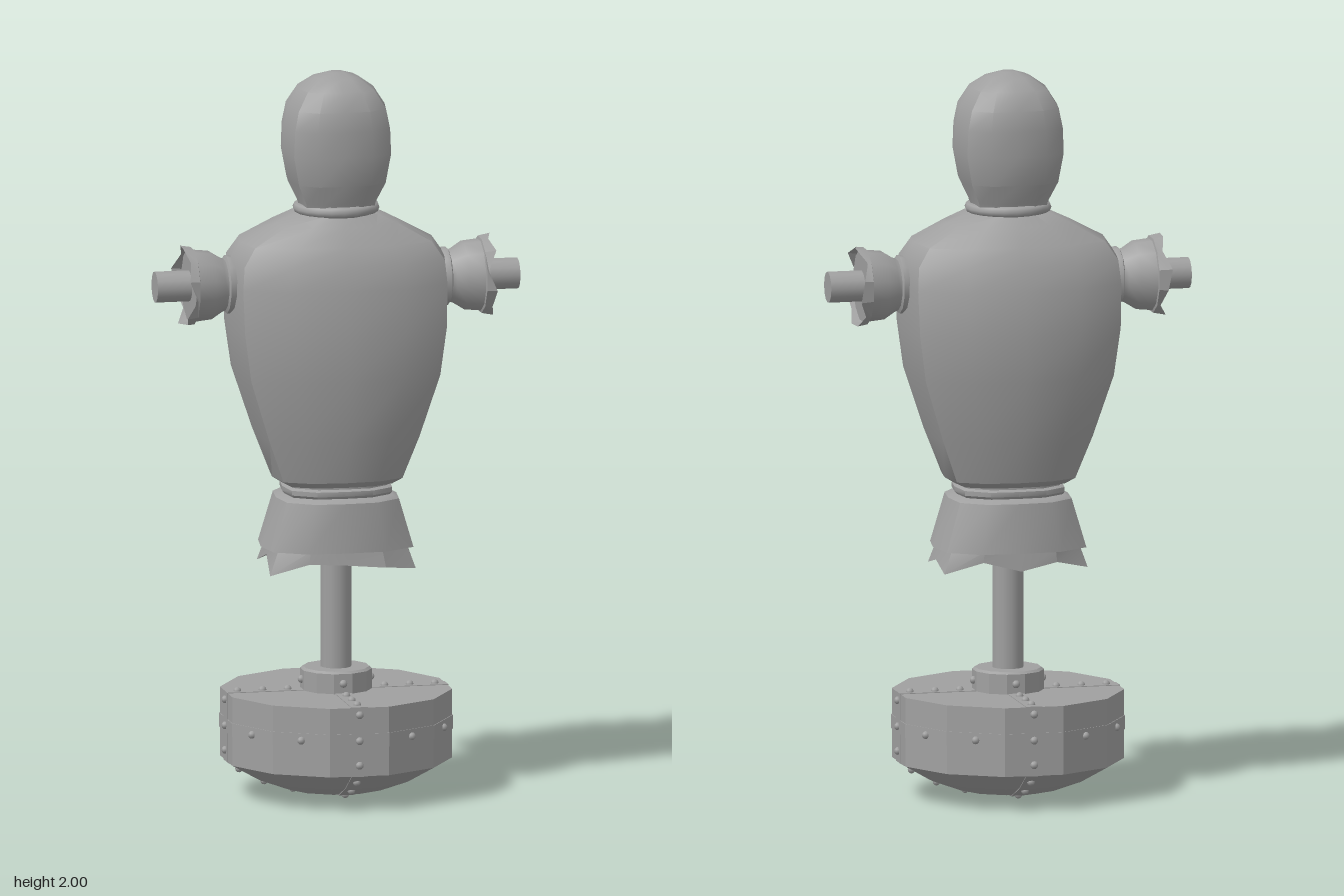
import * as THREE from 'three';
import { toCreasedNormals } from 'three/addons/utils/BufferGeometryUtils.js';

export function createModel() {
  const model = new THREE.Group();
  model.name = 'trainingDummy';
  const grey = new THREE.MeshStandardMaterial({ color: 0xa0a0a0, side: THREE.DoubleSide });
  grey.name = 'grey';

  function add(name, geometry, parent = model) {
    const mesh = new THREE.Mesh(geometry, grey);
    mesh.name = name;
    parent.add(mesh);
    return mesh;
  }

  // Skin a stack of equal-length point rings, listed from bottom to top.
  function loft(rings, capBottom, capTop, crease = 0.7) {
    const n = rings[0].length, pos = [], idx = [];
    rings.forEach(r => r.forEach(p => pos.push(...p)));
    for (let i = 0; i < rings.length - 1; i++) {
      for (let j = 0; j < n; j++) {
        const a = i * n + j, b = i * n + (j + 1) % n;
        idx.push(a, a + n, b, b, a + n, b + n);
      }
    }
    const cap = (i, flip) => {
      const c = pos.length / 3;
      pos.push(...[0, 1, 2].map(k => rings[i].reduce((s, p) => s + p[k], 0) / n));
      for (let j = 0; j < n; j++) {
        const a = i * n + j, b = i * n + (j + 1) % n;
        idx.push(c, flip ? b : a, flip ? a : b);
      }
    };
    if (capBottom) cap(0, false);
    if (capTop) cap(rings.length - 1, true);
    const g = new THREE.BufferGeometry();
    g.setAttribute('position', new THREE.Float32BufferAttribute(pos, 3));
    g.setIndex(idx);
    return toCreasedNormals(g, crease);
  }

  // Mirror a quarter outline (from the side to the front) into a full unit ring.
  function fullRing(q) {
    const half = [...q, ...q.slice(0, -1).reverse().map(([x, z]) => [-x, z])];
    return [...half, ...half.slice(1, -1).reverse().map(([x, z]) => [x, -z])];
  }
  const place = (ring, [y, x, front, back]) =>
    ring.map(([u, v]) => [u * x, y, v * (v > 0 ? front : back)]);
  const circle = n => Array.from({ length: n }, (_, i) => {
    const a = (i + 0.5) / n * Math.PI * 2;
    return [Math.cos(a), Math.sin(a)];
  });

  // Riveted drum base with a shallow dome underneath
  const base = new THREE.Group();
  base.name = 'base';
  model.add(base);
  const k = 1 / Math.cos(Math.PI / 12);
  const drum = [[0, 0.01], [0.14, 0.02], [0.225, 0.053], [0.306, 0.1], [0.306, 0.29], [0, 0.29]];
  const lathe = pts => toCreasedNormals(new THREE.LatheGeometry(
    pts.map(([r, y]) => new THREE.Vector2(r * k, y)), 12, Math.PI / 12), 0.5);
  add('drum', lathe(drum), base);
  add('seamBand', lathe([[0.305, 0.18], [0.308, 0.18], [0.308, 0.218], [0.305, 0.218]]), base);
  add('poleCollar', lathe([[0.095, 0.285], [0.095, 0.345], [0.088, 0.351], [0, 0.351]]), base);

  const strapShape = new THREE.Shape([
    [0, 0.008], [0.14, 0.018], [0.226, 0.051], [0.308, 0.099], [0.308, 0.292], [0, 0.292],
    [0, 0.285], [0.3, 0.285], [0.3, 0.105], [0.22, 0.06], [0.14, 0.03], [0, 0.02],
  ].map(p => new THREE.Vector2(...p)));
  const strap = new THREE.ExtrudeGeometry(strapShape, { depth: 0.045, bevelEnabled: false });
  strap.translate(0, 0, -0.0225);
  const rivet = new THREE.SphereGeometry(0.011, 8, 6);
  const rivetSpots = [
    [0.308, 0.27], [0.308, 0.13], [0.275, 0.292], [0.205, 0.292], [0.135, 0.292],
    [0.096, 0.318], [0.27, 0.077], [0.2, 0.041], [0.12, 0.017], [0.05, 0.011],
  ];
  for (let i = 0; i < 4; i++) {
    const quarter = new THREE.Group();
    quarter.name = 'strapAndRivets';
    quarter.rotation.y = i * Math.PI / 2;
    base.add(quarter);
    add('strap', strap, quarter);
    rivetSpots.forEach(([r, y]) => add('rivet', rivet, quarter).position.set(r, y, 0));
  }
  for (let i = 0; i < 12; i++) {
    const a = i * Math.PI / 6;
    add('sideRivet', rivet, base).position.set(Math.cos(a) * 0.308, 0.198, Math.sin(a) * 0.308);
  }

  // Support pole
  add('pole', new THREE.CylinderGeometry(0.043, 0.043, 0.46, 12)).position.y = 0.52;

  // Flared skirt with a torn hem
  const skirtRing = fullRing([[1, 0], [0.93, 0.62], [0.52, 0.96], [0, 1]]);
  add('skirt', loft([
    [0.69, 0.21, 0.155, 0.165], [0.825, 0.168, 0.145, 0.15], [0.835, 0.15, 0.13, 0.135],
  ].map(r => place(skirtRing, r)), true, true));
  const hemY = [0.655, 0.632, 0.645, 0.655, 0.66, 0.625, 0.668, 0.635, 0.66, 0.64, 0.665, 0.63];
  const hemTop = place(skirtRing, [0.695, 0.192, 0.142, 0.15]);
  const hemLow = place(skirtRing, [0, 0.205, 0.15, 0.155]).map(([x, , z], i) => {
    const s = 1 + (0.65 - hemY[i]) * 3;
    return [x * s, hemY[i], z * s];
  });
  add('tornHem', loft([hemLow, hemTop], false, false, 0.4));

  // Waist cord and padded torso
  add('waist', loft([
    [0.83, 0.14, 0.115, 0.12], [0.842, 0.15, 0.125, 0.13], [0.855, 0.15, 0.125, 0.13],
    [0.86, 0.138, 0.115, 0.12], [0.885, 0.14, 0.115, 0.12],
  ].map(r => place(skirtRing, r)), false, false));
  const torsoRing = fullRing([[1, 0], [0.93, 0.66], [0.52, 0.94], [0, 1]]);
  add('torso', loft([
    [0.865, 0.15, 0.118, 0.122],
    [0.882, 0.178, 0.14, 0.145],
    [1.0, 0.225, 0.168, 0.178],
    [1.17, 0.283, 0.194, 0.212],
    [1.3, 0.302, 0.197, 0.221],
    [1.42, 0.306, 0.186, 0.21],
    [1.485, 0.3, 0.172, 0.19],
    [1.535, 0.265, 0.15, 0.168],
    [1.585, 0.17, 0.118, 0.13],
    [1.612, 0.11, 0.098, 0.105],
  ].map(r => place(torsoRing, r)), true, true, 0.65));

  // Neck cord and hooded head
  const cord = add('neckCord', new THREE.TorusGeometry(0.104, 0.015, 8, 20));
  cord.rotation.x = Math.PI / 2;
  cord.position.y = 1.624;
  cord.scale.y = 0.98;
  const headRing = fullRing([[1, 0], [0.9, 0.68], [0.52, 0.98], [0, 1]]);
  add('head', loft([
    [1.61, 0.1, 0.088, 0.088],
    [1.645, 0.107, 0.096, 0.096],
    [1.7, 0.134, 0.122, 0.124],
    [1.78, 0.15, 0.127, 0.13],
    [1.85, 0.147, 0.127, 0.131],
    [1.905, 0.135, 0.122, 0.126],
    [1.955, 0.103, 0.097, 0.1],
    [1.985, 0.06, 0.058, 0.06],
    [1.998, 0.02, 0.02, 0.02],
  ].map(r => place(headRing, r)), true, true, 0.62));

  // Arms: cuffed sleeve stubs, each with a wooden peg
  const armRing = circle(12);
  const round = (y, r) => place(armRing, [y, r, r, r]);
  const sleeve = loft([
    round(0.27, 0.07), round(0.297, 0.08), round(0.308, 0.08), round(0.312, 0.071),
    round(0.322, 0.075), round(0.352, 0.094), round(0.41, 0.1),
  ], false, true);
  const cuffEnd = [0.432, 0.42, 0.428, 0.405, 0.43, 0.418, 0.434, 0.41, 0.425, 0.436, 0.415, 0.428];
  const cuff = loft([
    round(0.398, 0.099),
    round(0.4, 0.106),
    round(0, 0.108).map(([x, , z], i) => {
      const s = 1 + (cuffEnd[i] - 0.42) * 3;
      return [x * s, cuffEnd[i], z * s];
    }),
  ], false, false, 0.5);
  const peg = new THREE.CylinderGeometry(0.043, 0.043, 0.24, 12);
  peg.translate(0, 0.385, 0);
  for (const s of [1, -1]) {
    const arm = new THREE.Group();
    arm.name = s > 0 ? 'leftArm' : 'rightArm';
    arm.position.y = 1.42;
    arm.rotation.z = -s * Math.PI / 2;
    model.add(arm);
    add('sleeve', sleeve, arm);
    add('tornCuff', cuff, arm);
    add('peg', peg, arm);
  }
  return model;
}
